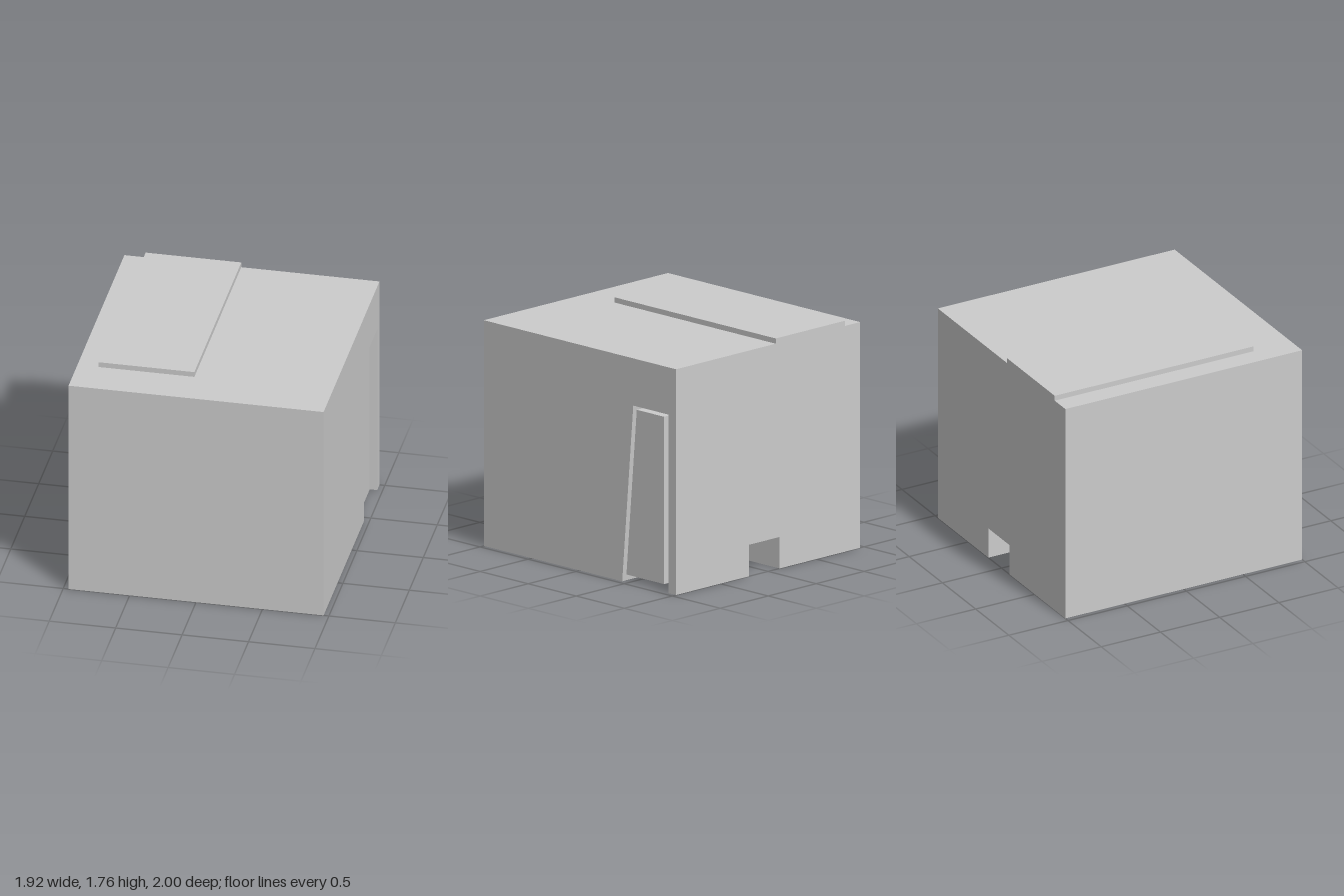
import * as THREE from 'three';

const W = 0.96, D = 1, H = 1.72;

// The block is a row of slabs across x; each has a side profile of [z, y] points.
// `cut` is the part of the profile that replaces the straight bottom edge, from back to front.
function slab(name, x0, x1, cut = [], hole = null) {
  const pts = (list) => list.map(([z, y]) => new THREE.Vector2(-z, y));
  const shape = new THREE.Shape(pts([...cut, [D, 0], [D, H], [-D, H], ...(cut.length && cut[0][1] > 0 ? [] : [[-D, 0]])]));
  if (hole) shape.holes.push(new THREE.Path(pts(hole)));
  const geo = new THREE.ExtrudeGeometry(shape, { depth: x1 - x0, bevelEnabled: false });
  geo.rotateY(Math.PI / 2).translate(x0, 0, 0);
  const mesh = new THREE.Mesh(geo, new THREE.MeshStandardMaterial({ color: 0xcccccc, flatShading: true }));
  mesh.name = name;
  return mesh;
}

export function createModel() {
  const model = new THREE.Group();
  model.name = 'block';

  // Shallow window recess, the same on both sides
  const windowHole = [[-0.2, 0.38], [0.2, 0.38], [0.2, 1.34], [-0.2, 1.34]];

  // Doorway with one sloping jamb
  const jamb = (y) => -0.44 - y * 0.0845;
  const doorway = [[-0.92, 0], [-0.92, 1.36], [jamb(1.36), 1.36], [jamb(0), 0]];

  // Doorway with the door block inside, joined to the sloping jamb
  const doorBlock = [
    [-0.92, 0], [-0.92, 1.36], [jamb(1.36), 1.36], [jamb(1.32), 1.32],
    [-0.835, 1.32], [-0.835, 0.045], [jamb(0.045), 0.045], [jamb(0), 0],
  ];
  const slot = [[-0.38, 0], [-0.38, 0.04], [-0.35, 0.04], [-0.35, 0]];

  // Stepped tunnel entering from the back
  const tunnel = [[-D, 0.24], [-0.48, 0.24], [-0.48, 0.09], [-0.32, 0.09], [-0.32, 0]];

  // Underside pit with a ridge across it
  const pit = [
    [-0.92, 0], [-0.92, 0.12], [-0.74, 0.12], [-0.68, 0.04],
    [-0.56, 0.04], [-0.48, 0.12], [-0.37, 0.12], [-0.37, 0],
  ];

  model.add(
    slab('leftWall', 0.92, W, doorway, windowHole),
    slab('doorOuter', 0.74, 0.92, doorBlock),
    slab('doorSlotted', 0.55, 0.74, [...doorBlock, ...slot]),
    slab('doorInner', 0.36, 0.55, doorBlock),
    slab('doorBackGap', 0.32, 0.36, doorway),
    slab('coreLeft', 0.2, 0.32),
    slab('tunnelSection', -0.12, 0.2, tunnel),
    slab('coreRight', -0.45, -0.12),
    slab('pitSection', -0.75, -0.45, pit),
    slab('innerRight', -0.92, -0.75),
    slab('rightWall', -W, -0.92, [], windowHole),
  );

  // Raised roof panel, flush with the back
  const panel = new THREE.Mesh(
    new THREE.BoxGeometry(0.72, 0.04, 1.68),
    new THREE.MeshStandardMaterial({ color: 0xcccccc, flatShading: true }),
  );
  panel.name = 'roofPanel';
  panel.position.set(-0.44, H + 0.02, -0.16);
  model.add(panel);

  return model;
}
